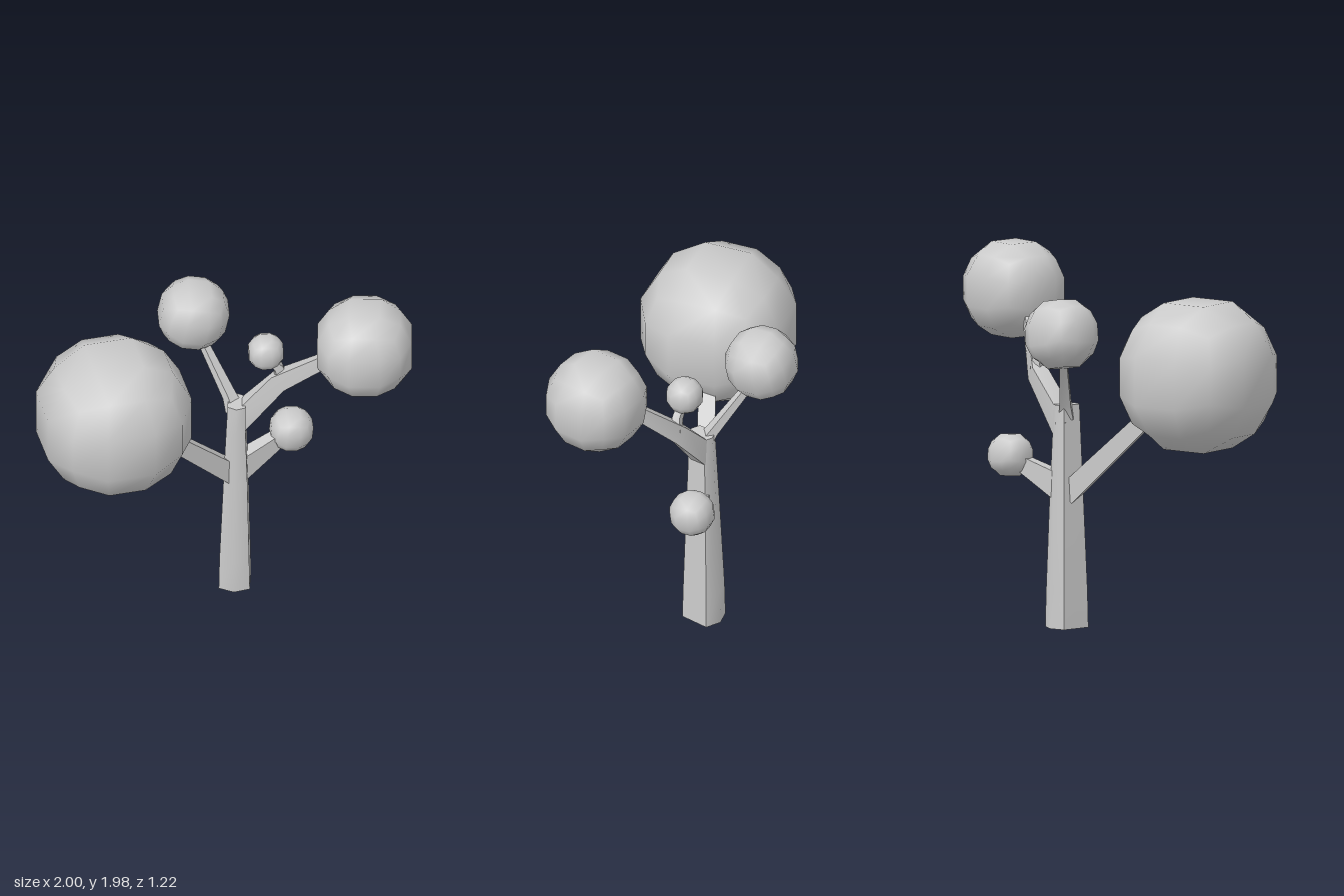
import * as THREE from 'three';
import { mergeVertices, toCreasedNormals } from 'three/addons/utils/BufferGeometryUtils.js';

const material = new THREE.MeshStandardMaterial({ color: 0xcccccc });
const HEX = [[1, 0.72], [0, 1], [-1, 0.72], [-1, -0.72], [0, -1], [1, -0.72]];
const SQUARE = [[1, 1], [-1, 1], [-1, -1], [1, -1]];

// Limb swept through nodes [x, y, z, half width, half depth]
function limb(name, nodes, section, ref) {
  const pts = nodes.map(n => new THREE.Vector3(n[0], n[1], n[2]));
  const pos = [], idx = [], n = section.length, last = nodes.length - 1;
  nodes.forEach((node, k) => {
    const t = pts[Math.min(k + 1, last)].clone().sub(pts[Math.max(k - 1, 0)]).normalize();
    const side = t.clone().cross(ref).normalize();
    const up = side.clone().cross(t);
    for (const [a, b] of section) {
      const p = pts[k].clone().addScaledVector(side, a * node[3]).addScaledVector(up, b * node[4]);
      pos.push(p.x, p.y, p.z);
    }
  });
  for (let k = 0; k < last; k++) {
    for (let j = 0; j < n; j++) {
      const a = k * n + j, b = k * n + (j + 1) % n;
      idx.push(a, a + n, b, b, a + n, b + n);
    }
  }
  // End caps
  const e = last * n;
  for (let j = 1; j < n - 1; j++) idx.push(0, j, j + 1, e, e + j + 1, e + j);
  const geo = new THREE.BufferGeometry();
  geo.setAttribute('position', new THREE.Float32BufferAttribute(pos, 3));
  geo.setIndex(idx);
  const mesh = new THREE.Mesh(toCreasedNormals(geo, 0.8), material);
  mesh.name = name;
  return mesh;
}

// Foliage ball: a 3 x 3 x 3 box pushed out onto a sphere
function foliage(name, x, y, z, r, rx = 0, ry = 0, rz = 0) {
  let geo = new THREE.BoxGeometry(2, 2, 2, 3, 3, 3);
  geo.deleteAttribute('uv');
  geo.deleteAttribute('normal');
  geo = mergeVertices(geo);
  const p = geo.attributes.position, v = new THREE.Vector3();
  for (let i = 0; i < p.count; i++) {
    v.fromBufferAttribute(p, i).setLength(r);
    p.setXYZ(i, v.x, v.y, v.z);
  }
  geo.computeVertexNormals();
  const mesh = new THREE.Mesh(geo, material);
  mesh.name = name;
  mesh.position.set(x, y, z);
  mesh.rotation.set(rx, ry, rz);
  return mesh;
}

export function createModel() {
  const tree = new THREE.Group();
  tree.name = 'tree';
  const Y = new THREE.Vector3(0, 1, 0), Z = new THREE.Vector3(0, 0, 1);

  // Trunk
  tree.add(limb('trunk', [
    [0.045, 0, -0.218, 0.083, 0.113],
    [0.045, 0.2, -0.218, 0.079, 0.109],
    [0.05, 0.7, -0.216, 0.064, 0.09],
    [0.052, 1.03, -0.214, 0.052, 0.078],
    [0.056, 1.2, -0.213, 0.048, 0.072],
  ], HEX, Z));

  // Branches
  const branches = {
    largeBranch: [[0.04, 0.715, -0.22, 0.05, 0.056], [-0.4, 1.25, 0.11, 0.045, 0.04]],
    lowerBranch: [[0.045, 0.74, -0.22, 0.045, 0.075], [0.34, 0.905, -0.375, 0.03, 0.03]],
    upperBranch: [[0.05, 1.07, -0.22, 0.05, 0.06], [0.285, 1.34, -0.23, 0.042, 0.05],
      [0.62, 1.67, -0.05, 0.025, 0.03]],
    twig: [[0.29, 1.36, -0.23, 0.025, 0.03], [0.28, 1.43, -0.225, 0.022, 0.024],
      [0.21, 1.52, -0.215, 0.018, 0.018]],
    backBranch: [[0.045, 1.14, -0.22, 0.04, 0.035], [0.015, 1.21, -0.25, 0.03, 0.025],
      [-0.16, 1.52, -0.4, 0.018, 0.018]],
  };
  for (const [name, nodes] of Object.entries(branches)) tree.add(limb(name, nodes, SQUARE, Y));

  // Foliage
  tree.add(
    foliage('largeFoliage', -0.585, 1.395, 0.183, 0.437, 0, 0.29, 0),
    foliage('upperFoliage', 0.745, 1.727, -0.042, 0.279, 0, 0.03, 0),
    foliage('backFoliage', -0.185, 1.625, -0.428, 0.2, 0.1, 0.12, -0.2),
    foliage('twigFoliage', 0.21, 1.54, -0.218, 0.102, 0, 0.1, 0),
    foliage('lowerFoliage', 0.34, 0.907, -0.372, 0.124, 0.1, 0.15, -0.1),
  );
  return tree;
}
